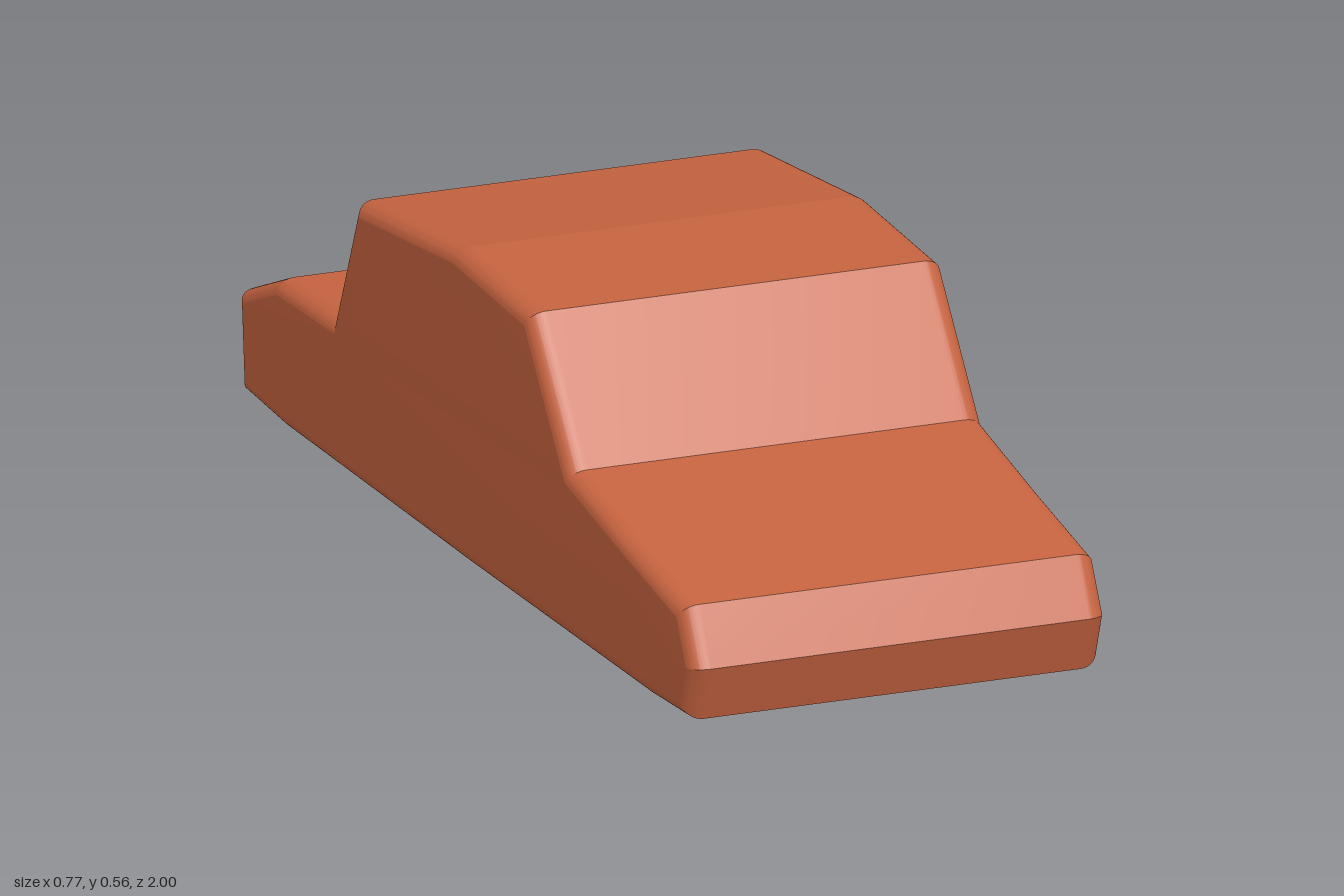
import * as THREE from 'three';
import { toCreasedNormals } from 'three/addons/utils/BufferGeometryUtils.js';

// Side outline of the body as [z, y], from the front bumper over the roof to the tail
const outline = [
  [0.965, 0.01], [1, 0.11], [0.945, 0.21], [0.7, 0.255], [0.455, 0.305],
  [0.275, 0.537], [-0.05, 0.555], [-0.48, 0.511], [-0.585, 0.271],
  [-0.83, 0.265], [-1, 0.195], [-0.985, 0.015], [-0.8, 0.003], [0, 0], [0.8, 0.003],
];
const width = 0.774;
const roundX = 0.036; // edge rounding across the width
const roundY = 0.03; // edge rounding within the outline

export function createModel() {
  const group = new THREE.Group();
  group.name = 'carBody';

  // Outline extruded across the width, with rounded side edges
  const shape = new THREE.Shape(outline.map(([z, y]) => new THREE.Vector2(z, y)));
  const depth = width - 2 * roundX;
  const geometry = new THREE.ExtrudeGeometry(shape, {
    depth,
    bevelEnabled: true,
    bevelThickness: roundX,
    bevelSize: roundY,
    bevelOffset: -roundY,
    bevelSegments: 12,
  });
  geometry.translate(0, 0, -depth / 2);
  geometry.rotateY(-Math.PI / 2);

  const shell = new THREE.Mesh(
    toCreasedNormals(geometry, 0.155),
    new THREE.MeshStandardMaterial({ color: 0xc4623f }),
  );
  shell.name = 'bodyShell';
  group.add(shell);
  return group;
}
